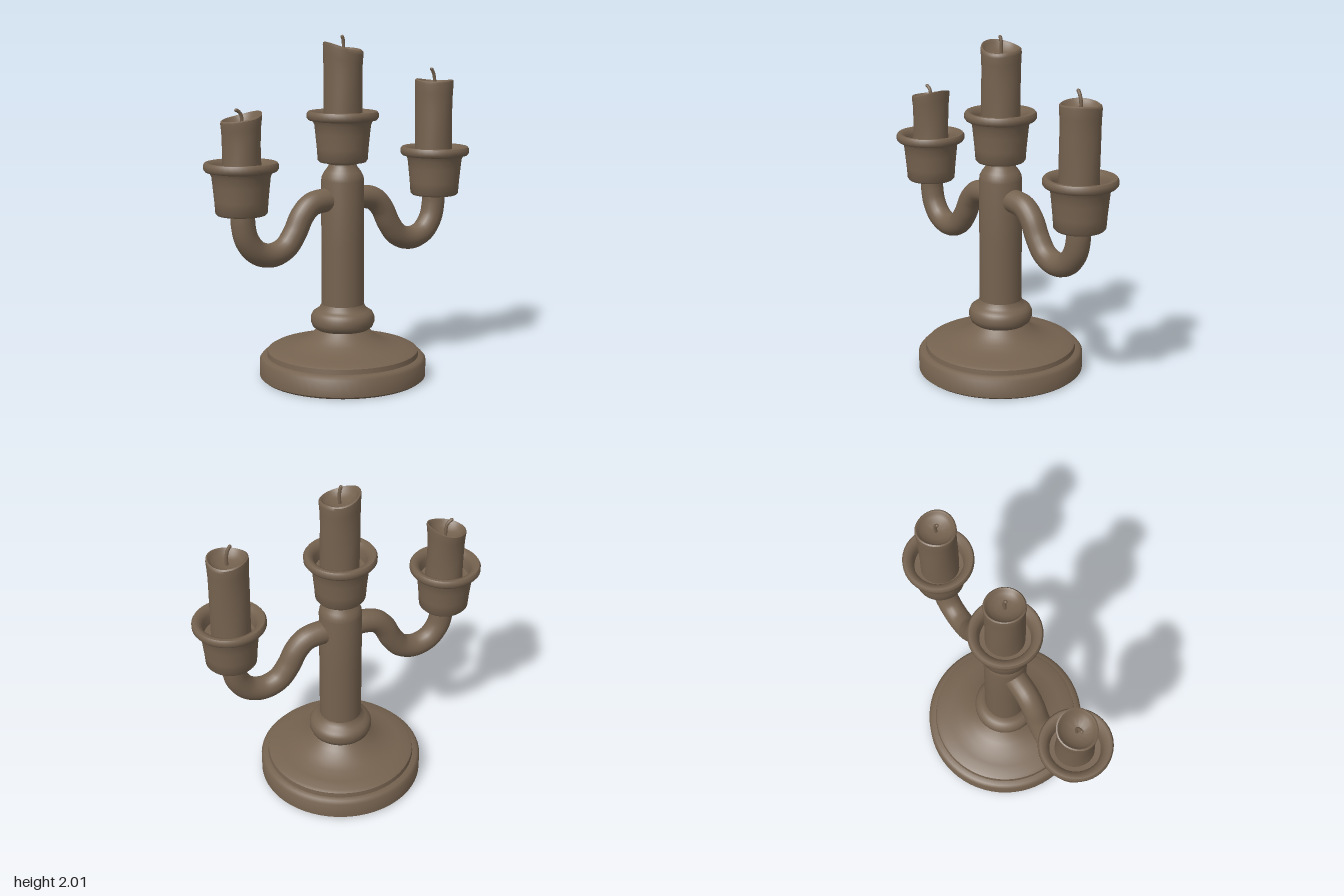
import * as THREE from 'three';
import { mergeVertices, toCreasedNormals } from 'three/addons/utils/BufferGeometryUtils.js';

const bronze = new THREE.MeshStandardMaterial({ color: 0x75624f });
bronze.name = 'dull bronze';

function part(name, geometry) {
  const mesh = new THREE.Mesh(geometry, bronze);
  mesh.name = name;
  return mesh;
}

// Turned shape from [radius, y] pairs listed bottom to top, optionally bent by a rule
function turned(profile, segments, rule) {
  let g = new THREE.LatheGeometry(profile.map(([r, y]) => new THREE.Vector2(r, y)), segments);
  g.deleteAttribute('uv');
  g.deleteAttribute('normal');
  g = mergeVertices(g, 1e-4);
  if (rule) {
    const p = g.attributes.position;
    const v = new THREE.Vector3();
    for (let i = 0; i < p.count; i++) {
      v.fromBufferAttribute(p, i);
      rule(v, Math.atan2(v.z, v.x));
      p.setXYZ(i, v.x, v.y, v.z);
    }
  }
  return toCreasedNormals(g, 0.75);
}

function tube(points, radius, segments, sides) {
  const curve = new THREE.CatmullRomCurve3(points.map(([x, y]) => new THREE.Vector3(x, y, 0)));
  return new THREE.TubeGeometry(curve, segments, radius, sides);
}

// Cup with a flared lip; y = 0 is its underside
function cup(name, x, y) {
  const mesh = part(name, turned([
    [0, 0], [0.135, 0], [0.145, 0.012], [0.15, 0.08], [0.158, 0.16], [0.164, 0.215],
    [0.175, 0.238], [0.198, 0.243], [0.208, 0.256], [0.208, 0.28], [0.2, 0.292],
    [0.185, 0.294], [0.162, 0.282], [0.148, 0.255], [0.142, 0.2], [0, 0.19],
  ], 40));
  mesh.position.set(x, y, 0);
  return mesh;
}

// Half-melted candle: waist narrows the middle, top(a) raises the rim by angle
function candle(name, x, y, height, waist, top) {
  const r = 0.112;
  const profile = [[0, 0], [r, 0]];
  for (let i = 1; i <= 9; i++) profile.push([r, (height - 0.02) * i / 9]);
  profile.push([r * 0.98, height - 0.006], [r * 0.91, height], [r * 0.83, height - 0.01],
    [r * 0.72, height - 0.03], [r * 0.4, height - 0.042], [0, height - 0.045]);
  const mesh = part(name, turned(profile, 36, (v, a) => {
    const t = v.y / height;
    const edge = Math.hypot(v.x, v.z) / r;
    const scale = 1 - waist * Math.sin(Math.PI * t) + 0.05 * Math.max(0, t - 0.8) * 5 * edge
      + 0.015 * Math.sin(3 * a + 5 * t);
    v.x *= scale;
    v.z *= scale;
    v.y += top(a) * THREE.MathUtils.smoothstep(t, 0.55, 1) * edge * edge;
  }));
  mesh.position.set(x, y, 0);
  return mesh;
}

export function createModel() {
  const model = new THREE.Group();
  model.name = 'candelabra';

  // Foot, collar, column and neck
  model.add(part('base', turned([
    [0, 0], [0.475, 0], [0.49, 0.012], [0.49, 0.11], [0.475, 0.128], [0.447, 0.132],
    [0.443, 0.16], [0.425, 0.17], [0.36, 0.18], [0.29, 0.197], [0.23, 0.222],
    [0.18, 0.258], [0.14, 0.3], [0, 0.3],
  ], 64)));
  model.add(part('collar', turned([
    [0.13, 0.285], [0.158, 0.29], [0.177, 0.305], [0.187, 0.33], [0.187, 0.362],
    [0.176, 0.386], [0.155, 0.4], [0.138, 0.412], [0.126, 0.435], [0.12, 0.45],
  ], 48)));
  model.add(part('column', turned([
    [0, 0.3], [0.125, 0.3], [0.125, 0.8], [0.125, 1.17], [0.121, 1.195], [0.108, 1.22],
    [0.085, 1.25], [0.08, 1.265], [0.088, 1.278], [0.115, 1.288], [0, 1.29],
  ], 40)));

  // Mirrored S-shaped arms
  for (const [name, s] of [['leftArm', 1], ['rightArm', -1]]) {
    model.add(part(name, tube([
      [0.05, 1.06], [0.15, 1.06], [0.22, 1.043], [0.28, 0.985], [0.33, 0.89], [0.395, 0.81],
      [0.49, 0.779], [0.585, 0.809], [0.645, 0.885], [0.666, 0.97], [0.668, 1.06],
    ].map(([x, y]) => [x * s, y]), 0.069, 56, 20)));
  }

  model.add(cup('centreCup', 0, 1.278), cup('leftCup', 0.675, 1.03), cup('rightCup', -0.675, 1.03));

  // Candles, each melted differently
  model.add(candle('centreCandle', 0.003, 1.46, 0.48, 0,
    (a) => -0.025 * Math.cos(a) - 0.012 * Math.sin(a) + 0.008 * Math.cos(2 * a)));
  model.add(candle('leftCandle', 0.665, 1.21, 0.515, 0,
    (a) => -0.004 * Math.cos(a) + 0.007 * Math.sin(2 * a)));
  model.add(candle('rightCandle', -0.67, 1.21, 0.345, 0.05,
    (a) => 0.06 * Math.pow(0.5 + 0.5 * Math.cos(a), 3) - 0.006 * Math.cos(2 * a)));

  // Curled wicks
  const wicks = {
    centreWick: [[0.004, 1.88], [0.006, 1.94], [0.004, 1.975], [-0.003, 1.998]],
    leftWick: [[0.668, 1.67], [0.668, 1.73], [0.66, 1.765], [0.645, 1.793]],
    rightWick: [[-0.665, 1.5], [-0.667, 1.565], [-0.678, 1.595], [-0.702, 1.612]],
  };
  for (const [name, path] of Object.entries(wicks)) {
    model.add(part(name, tube(path, 0.01, 12, 8)));
    const tip = part(name + 'Tip', new THREE.SphereGeometry(0.01, 8, 6));
    tip.position.set(path[3][0], path[3][1] - 0.002, 0);
    model.add(tip);
  }
  return model;
}
